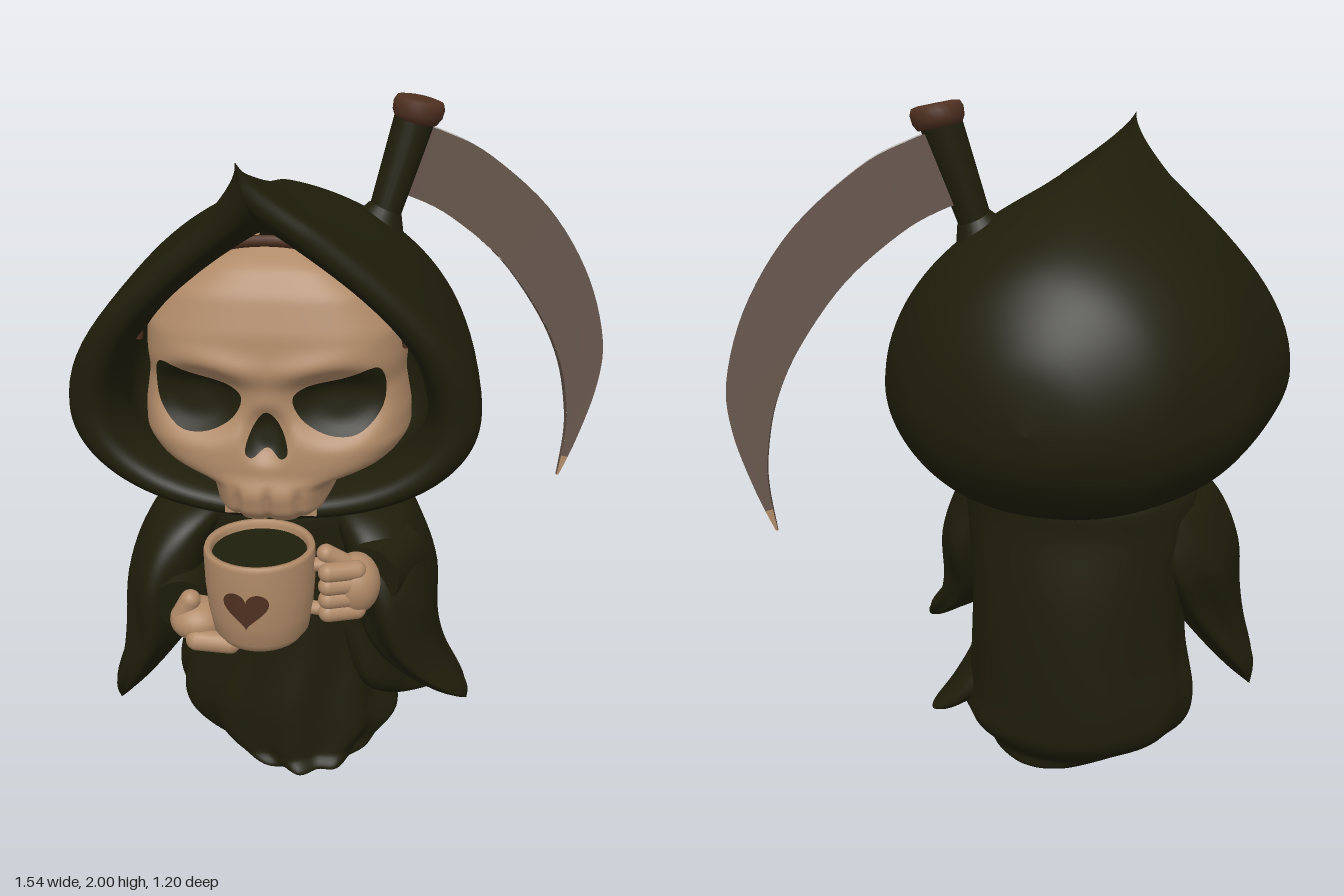
import * as THREE from 'three';

const CX = -0.19; // centre line of the figure
const mat = (name, color) => Object.assign(new THREE.MeshStandardMaterial({ color }), { name });
const cloth = mat('dark olive cloth', 0x1f1e0b);
const bone = mat('bone tan', 0xb08a68);
const steel = mat('dull steel', 0x68584e);
const edge = mat('bright steel', 0xbab6b2);
const brown = mat('brown', 0x4e3020);

// Surface from fn(u, v), facing du x dv; wrap closes it in u.
function grid(nu, nv, fn, wrap = false) {
  const pos = [], idx = [], cols = wrap ? nu : nu + 1;
  for (let j = 0; j <= nv; j++) for (let i = 0; i < cols; i++) pos.push(...fn(i / nu, j / nv));
  for (let j = 0; j < nv; j++) for (let i = 0; i < nu; i++) {
    const a = j * cols + i, b = j * cols + (i + 1) % cols;
    idx.push(a, b, b + cols, a, b + cols, a + cols);
  }
  const g = new THREE.BufferGeometry();
  g.setAttribute('position', new THREE.Float32BufferAttribute(pos, 3));
  g.setIndex(idx);
  g.computeVertexNormals();
  return g;
}

// Smooth interpolation through the rows of a small table.
function sample(rows, t) {
  const n = rows.length - 1, f = Math.min(t * n, n), i = Math.min(n - 1, Math.floor(f)), s = f - i;
  const at = k => rows[Math.max(0, Math.min(n, k))];
  return rows[0].map((_, c) => {
    const p = at(i - 1)[c], a = at(i)[c], b = at(i + 1)[c], q = at(i + 2)[c];
    return a + 0.5 * s * (b - p + s * (2 * p - 5 * a + 4 * b - q + s * (3 * (a - b) + q - p)));
  });
}

// Upright loft; rows are [y, cx, rx, cz, rz] from low to high.
const loft = (rows, fold = () => 0, n = 72, m = 40) => grid(n, m, (u, v) => {
  const [y, cx, rx, cz, rz] = sample(rows, v), a = u * Math.PI * 2, k = 1 + fold(a, y);
  return [cx + rx * k * Math.cos(a), Math.max(0, y), cz - rz * k * Math.sin(a)];
}, true);

// Thin painted patch laid on the surface z = zAt(x, y); outline runs anticlockwise.
function patch(pts, zAt) {
  const n = pts.length;
  const mx = pts.reduce((s, p) => s + p[0], 0) / n, my = pts.reduce((s, p) => s + p[1], 0) / n;
  return grid(n, 8, (u, v) => {
    const p = pts[Math.round(u * n) % n], x = p[0] + (mx - p[0]) * v, y = p[1] + (my - p[1]) * v;
    return [x, y, zAt(x, y)];
  }, true);
}
const smoothLoop = pts => new THREE.CatmullRomCurve3(pts.map(p => new THREE.Vector3(p[0], p[1], 0)), true)
  .getPoints(40).slice(0, 40).map(p => [p.x, p.y]);

// Skull: height, half-width and front depth.
const skullRows = [[0.915, 0.14, 0.37], [0.935, 0.172, 0.405], [1, 0.183, 0.42], [1.025, 0.2, 0.412], [1.05, 0.3, 0.4], [1.08, 0.345, 0.4],
  [1.13, 0.38, 0.395], [1.2, 0.38, 0.385], [1.3, 0.363, 0.375], [1.36, 0.368, 0.385], [1.45, 0.365, 0.375],
  [1.55, 0.31, 0.345], [1.62, 0.21, 0.3], [1.655, 0.11, 0.24], [1.67, 0.02, 0.2]];
function skullAt(y) {
  const line = h => {
    let i = 0;
    while (i < skullRows.length - 2 && skullRows[i + 1][0] < h) i++;
    const a = skullRows[i], b = skullRows[i + 1], t = Math.max(0, Math.min(1, (h - a[0]) / (b[0] - a[0])));
    return [a[1] + (b[1] - a[1]) * t, a[2] + (b[2] - a[2]) * t];
  };
  const s = [-0.014, -0.007, 0, 0.007, 0.014].map(d => line(y + d));
  return [0, 1].map(k => s.reduce((t, p) => t + p[k], 0) / 5);
}
const bump = (d, r) => Math.exp(-((d / r) ** 2));
// Face relief: sockets, angry brow, nose hole and teeth grooves; x from the centre line.
function faceZ(x, y) {
  const [w, f] = skullAt(y), ax = Math.abs(x), r = Math.min(1, ax / w);
  let z = 0.13 + (f - 0.13) * Math.pow(1 - Math.pow(r, 3.5), 0.45);
  const fade = 1 - r ** 6;
  z -= 0.05 * fade * Math.exp(-((((ax - 0.195) / 0.13) ** 2 + ((y - 1.255) / 0.095) ** 2) ** 2));
  z += 0.014 * fade * bump(y - 1.36 - 0.2 * (ax - 0.1), 0.04) * bump(ax - 0.12, 0.15);
  z -= 0.03 * Math.exp(-((((ax) / 0.06) ** 2 + ((y - 1.17) / 0.07) ** 2) ** 2));
  if (y < 1.03) for (const g of [0, 0.085]) z -= 0.014 * fade * bump(ax - g, 0.013) * Math.min(1, (1.03 - y) / 0.04);
  return z;
}

export function createModel() {
  const root = new THREE.Group();
  root.name = 'hoodedSkeleton';
  const add = (name, geo, m, parent = root) => {
    const mesh = new THREE.Mesh(geo, m);
    mesh.name = name;
    parent.add(mesh);
    return mesh;
  };
  const rod = (name, a, b, r, m, parent, r2) => {
    const p = new THREE.Vector3(...a), q = new THREE.Vector3(...b), d = q.clone().sub(p), len = d.length();
    const g = r2 === undefined ? new THREE.CapsuleGeometry(r, len, 8, 16) : new THREE.CylinderGeometry(r2, r, len, 24);
    const mesh = add(name, g, m, parent);
    mesh.position.copy(p.add(q).multiplyScalar(0.5));
    mesh.quaternion.setFromUnitVectors(new THREE.Vector3(0, 1, 0), d.normalize());
  };
  const ball = (name, p, s, m, parent) => {
    const mesh = add(name, new THREE.SphereGeometry(1, 24, 16), m, parent);
    mesh.position.set(...p);
    mesh.scale.set(...s);
  };

  // Hood: teardrop sections [z, half-width, top, bottom, pointedness, forward lean], back to rim, then the lining
  const hoodRows = [[-0.605, 0, 1.2, 1.2, 1, 0], [-0.58, 0.16, 1.38, 1.08, 1, 0], [-0.5, 0.32, 1.53, 0.97, 1, 0],
    [-0.4, 0.425, 1.63, 0.905, 1.05, 0], [-0.25, 0.52, 1.715, 0.875, 1.15, 0.1], [-0.1, 0.555, 1.775, 0.87, 1.4, 0.25],
    [0.1, 0.575, 1.825, 0.87, 1.9, 0.6], [0.25, 0.58, 1.89, 0.875, 2.6, 0.95], [0.305, 0.565, 1.93, 0.885, 3, 1],
    [0.335, 0.52, 1.86, 0.91, 2.8, 1], [0.315, 0.465, 1.79, 0.945, 2.4, 1], [0.22, 0.43, 1.73, 0.965, 2, 0.9],
    [0.05, 0.4, 1.68, 0.98, 1.5, 0.6], [0.0, 0, 1.2, 1.2, 1, 0]];
  add('hood', grid(112, 78, (u, v) => {
    const [z, w, top, bot, n, lean] = sample(hoodRows, v), a = u * Math.PI * 2, c = Math.cos(a), s = Math.sin(a);
    const y = 1.2 + s * (s > 0 ? top - 1.2 : 1.2 - bot), h = Math.max(0, (y - 1.2) / 0.73);
    const x = w * Math.sign(c) * Math.pow(Math.abs(c), s > 0 ? n : 0.9);
    return [CX + x - 0.045 * Math.max(0, h - 0.75) * 4 * lean, y, z + 0.17 * lean * Math.pow(h, 1.3)];
  }, true), cloth);

  // Skull with painted sockets and nose
  const skull = new THREE.Group();
  skull.name = 'skull';
  skull.position.x = CX;
  root.add(skull);
  add('face', grid(96, 100, (u, v) => {
    const y = 0.915 + 0.755 * v, x = skullAt(y)[0] * Math.sin((u - 0.5) * Math.PI);
    return [x, y, faceZ(x, y)];
  }), bone, skull);
  add('jawUnderside', new THREE.BoxGeometry(0.26, 0.02, 0.2), bone, skull).position.set(0, 0.928, 0.25);
  const onFace = (x, y) => faceZ(x, y) + 0.008;
  const eye = [[0.07, 1.275], [0.095, 1.215], [0.17, 1.172], [0.25, 1.175], [0.31, 1.24], [0.315, 1.33], [0.295, 1.362], [0.2, 1.33], [0.1, 1.305]];
  add('leftSocket', patch(smoothLoop(eye), onFace), cloth, skull);
  add('rightSocket', patch(smoothLoop(eye.map(([x, y]) => [-x, y]).reverse()), onFace), cloth, skull);
  add('noseHole', patch(smoothLoop([[0, 1.135], [0.04, 1.11], [0.058, 1.125], [0.035, 1.2], [0, 1.238], [-0.035, 1.2], [-0.058, 1.125], [-0.04, 1.11]]), onFace), cloth, skull);
  const browBand = [[-0.375, 1.4], [-0.36, 1.47], [-0.305, 1.565], [-0.18, 1.65], [0, 1.682], [0.18, 1.65], [0.305, 1.565], [0.36, 1.47], [0.375, 1.4]];
  add('foreheadBand', new THREE.TubeGeometry(new THREE.CatmullRomCurve3(browBand.map(([x, y]) => new THREE.Vector3(x, y, 0.26))), 48, 0.016, 8), brown, skull);

  // Robe with swirling folds and a flicked hem tail
  add('robe', loft([[0, -0.12, 0, 0.05, 0], [0, -0.12, 0.17, 0.05, 0.25], [0.05, -0.16, 0.27, 0.03, 0.27], [0.12, -0.18, 0.345, 0.005, 0.295],
    [0.22, -0.2, 0.35, 0, 0.3], [0.4, -0.19, 0.33, -0.01, 0.295], [0.6, -0.19, 0.33, -0.01, 0.29], [0.78, -0.19, 0.35, 0, 0.28],
    [0.88, -0.19, 0.35, 0, 0.28], [0.95, -0.19, 0.3, 0, 0.25]],
  (a, y) => 0.05 * Math.max(0, 1 - y / 0.8) * Math.sin(11 * a - 8 * y) * (0.5 - 0.5 * Math.sin(a)), 132, 60), cloth);
  add('hemTail', loft([[0.085, 0.262, 0, -0.1, 0], [0.115, 0.215, 0.045, -0.08, 0.06], [0.19, 0.135, 0.075, -0.01, 0.13],
    [0.3, 0.085, 0.075, 0.06, 0.17], [0.48, 0.04, 0.08, 0.09, 0.15]]), cloth);

  // Wide hanging sleeves, rounded at the shoulder, with cuffs
  const ripple = (a, y) => 0.06 * Math.sin(6 * a + 9 * y) * Math.max(0, Math.min(1, (0.85 - y) * 3));
  add('leftSleeve', loft([[0.255, 0.38, 0, 0.22, 0], [0.31, 0.325, 0.05, 0.21, 0.08], [0.4, 0.23, 0.085, 0.19, 0.15], [0.5, 0.175, 0.11, 0.17, 0.2],
    [0.65, 0.15, 0.125, 0.14, 0.25], [0.78, 0.11, 0.125, 0.12, 0.24], [0.87, 0.06, 0.115, 0.08, 0.2], [0.91, 0.0, 0.06, 0.04, 0.1], [0.92, -0.02, 0, 0.02, 0]], ripple), cloth);
  add('rightSleeve', loft([[0.17, -0.71, 0, 0.2, 0], [0.26, -0.67, 0.045, 0.2, 0.08], [0.38, -0.605, 0.075, 0.19, 0.15], [0.5, -0.555, 0.105, 0.17, 0.2],
    [0.65, -0.53, 0.12, 0.14, 0.25], [0.78, -0.49, 0.12, 0.12, 0.24], [0.87, -0.43, 0.115, 0.08, 0.2], [0.91, -0.38, 0.06, 0.04, 0.1], [0.92, -0.36, 0, 0.02, 0]], ripple), cloth);
  rod('leftCuff', [0.14, 0.74, 0.2], [0.09, 0.74, 0.36], 0.11, cloth, root, 0.09);
  rod('rightCuff', [-0.5, 0.65, 0.2], [-0.46, 0.625, 0.37], 0.11, cloth, root, 0.08);

  // Mug with drink and heart
  const mug = new THREE.Group();
  mug.name = 'mug';
  mug.position.set(-0.21, 0, 0.43);
  root.add(mug);
  add('cup', new THREE.LatheGeometry([[0, 0.575], [0.08, 0.575], [0.115, 0.588], [0.135, 0.615], [0.147, 0.68], [0.154, 0.76], [0.156, 0.855], [0.152, 0.868], [0.14, 0.868],
    [0.133, 0.855], [0.13, 0.8]].map(p => new THREE.Vector2(...p)), 48), bone, mug);
  const drink = add('drink', new THREE.CircleGeometry(0.134, 40), cloth, mug);
  drink.rotation.x = -Math.PI / 2;
  drink.position.y = 0.845;
  const heart = Array.from({ length: 40 }, (_, i) => {
    const t = -i / 40 * Math.PI * 2;
    return [-0.015 + 0.064 * Math.sin(t) ** 3, 0.748 + 0.0038 * (13 * Math.cos(t) - 5 * Math.cos(2 * t) - 2 * Math.cos(3 * t) - Math.cos(4 * t))];
  });
  add('heart', patch(heart, x => Math.sqrt(0.154 ** 2 - x * x) + 0.009), brown, mug);
  add('handle', new THREE.TorusGeometry(0.07, 0.02, 12, 32), bone, mug).position.set(0.16, 0.74, 0);

  // Hands: one wraps the handle, one supports the mug from below
  const left = new THREE.Group(), right = new THREE.Group();
  left.name = 'leftHand';
  right.name = 'rightHand';
  root.add(left, right);
  ball('palm', [0.055, 0.735, 0.39], [0.07, 0.09, 0.08], bone, left);
  for (let i = 0; i < 4; i++) {
    const y = 0.672 + i * 0.042;
    rod('finger', [0.06, y, 0.43], [-0.015, y + 0.006, 0.465], 0.028, bone, left);
  }
  rod('thumb', [0.03, 0.8, 0.4], [-0.025, 0.84, 0.42], 0.027, bone, left);
  ball('palm', [-0.4, 0.605, 0.41], [0.08, 0.06, 0.08], bone, right);
  for (let i = 0; i < 4; i++) rod('finger', [-0.39, 0.575, 0.36 + i * 0.04], [-0.295, 0.567, 0.37 + i * 0.035], 0.031, bone, right);
  rod('thumb', [-0.445, 0.62, 0.43], [-0.415, 0.675, 0.43], 0.03, bone, right);

  // Scythe pole, flared to the top, with cap
  const scythe = new THREE.Group();
  scythe.name = 'scythe';
  root.add(scythe);
  rod('pole', [0.05, 1.55, -0.13], [0.172, 1.95, -0.19], 0.042, cloth, scythe, 0.06);
  rod('poleCollar', [0.065, 1.62, -0.14], [0.088, 1.68, -0.155], 0.085, cloth, scythe, 0.05);
  const cap = add('poleCap', new THREE.LatheGeometry([[0, -0.035], [0.062, -0.035], [0.073, -0.015], [0.075, 0.01], [0.068, 0.026], [0.05, 0.03], [0, 0.03]]
    .map(p => new THREE.Vector2(...p)), 28), brown, scythe);
  cap.position.set(0.177, 1.96, -0.19);
  cap.rotation.z = -0.2;

  // Curved blade: thick spine tapering to a thin inner edge
  const curve = pts => new THREE.SplineCurve(pts.map(p => new THREE.Vector2(...p)));
  const outer = curve([[0.19, 1.915], [0.245, 1.895], [0.375, 1.825], [0.56, 1.655], [0.69, 1.445], [0.755, 1.23], [0.75, 1.07], [0.7, 0.89], [0.65, 0.757]]);
  const inner = curve([[0.12, 1.715], [0.155, 1.71], [0.27, 1.645], [0.43, 1.5], [0.56, 1.31], [0.63, 1.15], [0.66, 0.995], [0.662, 0.89], [0.645, 0.757]]);
  const corner = (t, out, side) => {
    const p = (out ? outer : inner).getPoint(t), h = side * (out ? 0.028 : 0.018) * (1 - 0.75 * t ** 4);
    return [p.x + 0.31 * h, p.y, -0.195 - 0.34 * (p.x - 0.18) + 0.95 * h];
  };
  const strip = (name, m, t0, t1, a, b) => add(name, grid(40, 4, (u, v) => {
    const t = t0 + (t1 - t0) * u, p = corner(t, ...a), q = corner(t, ...b);
    return p.map((c, i) => c + (q[i] - c) * v);
  }), m, scythe);
  for (const [m, t0, t1] of [[steel, 0, 0.93], [bone, 0.93, 1]]) {
    strip('bladeFront', m, t0, t1, [false, 1], [true, 1]);
    strip('bladeBack', m, t0, t1, [true, -1], [false, -1]);
  }
  strip('bladeInnerEdge', steel, 0, 1, [false, -1], [false, 1]);
  strip('bladeSpine', edge, 0, 0.6, [true, 1], [true, -1]);
  strip('bladeSpineTip', bone, 0.6, 1, [true, 1], [true, -1]);
  return root;
}
